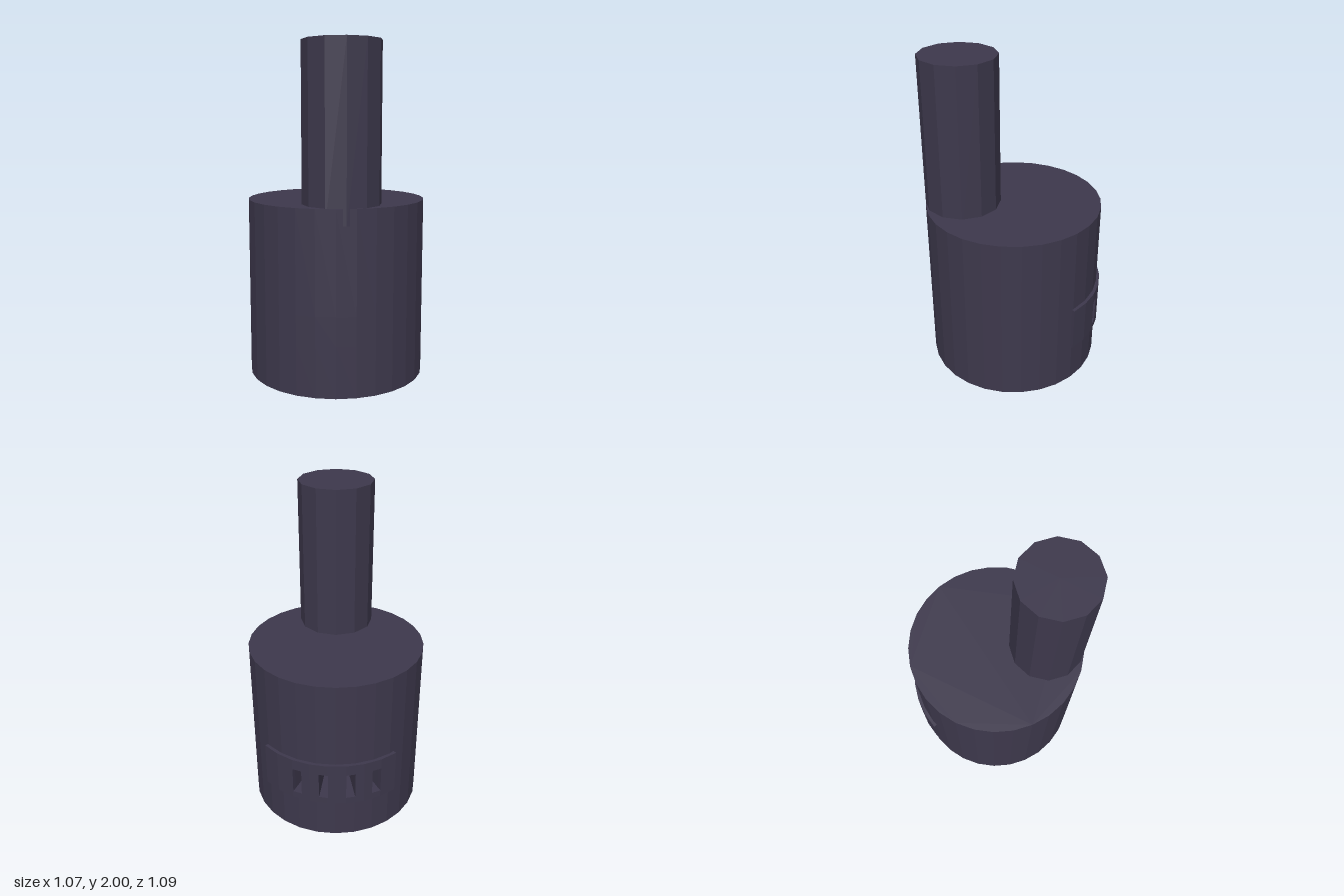
import * as THREE from 'three';

const RAD = Math.PI / 180;
const BODY = { r: 0.537, first: 0, step: 360 / 29 };
const BAND = { r: 0.557, first: -40.8, step: 91.5 / 8 };
const BAND_END = 50.7, BAND_INNER = 0.531;
const SLOTS = [-26.5, -9.5, 7.5, 24.7]; // degrees from the back
const SLOT_HALF = 0.0275, SLOT_FLOOR = 0.31;
const SLOT_Y = [0.305, 0.475];

// Point at an angle measured from the back (-z) towards +x
const polar = (deg, r) => new THREE.Vector2(r * Math.sin(deg * RAD), r * Math.cos(deg * RAD));

// Point on the faceted outline of a ring
function onFacets({ r, first, step }, deg) {
  const t = (((deg - first) % step) + step) % step;
  return polar(deg, r * Math.cos(step / 2 * RAD) / Math.cos((t - step / 2) * RAD));
}

// Facet corners between two angles, with both ends included
function arc(ring, a, b) {
  const points = [onFacets(ring, a)];
  for (let k = Math.ceil((a - ring.first) / ring.step); ring.first + k * ring.step < b - 1e-4; k++) {
    const deg = ring.first + k * ring.step;
    if (deg > a + 1e-4) points.push(polar(deg, ring.r));
  }
  points.push(onFacets(ring, b));
  return points;
}

export function createModel() {
  const model = new THREE.Group();
  const material = new THREE.MeshStandardMaterial({ color: 0x3d384c, flatShading: true });

  // Upright slab with a horizontal outline
  function layer(name, points, y0, y1, parent) {
    const geometry = new THREE.ExtrudeGeometry(new THREE.Shape(points), { depth: y1 - y0, bevelEnabled: false });
    geometry.rotateX(-Math.PI / 2).translate(0, y0, 0);
    const mesh = new THREE.Mesh(geometry, material);
    mesh.name = name;
    parent.add(mesh);
  }

  const base = new THREE.Group();
  base.name = 'base';
  base.position.z = 0.007;
  model.add(base);

  // Drum: solid below and above the slots
  const round = Array.from({ length: 29 }, (_, k) => polar(k * BODY.step, BODY.r));
  layer('drumLower', round, 0, SLOT_Y[0], base);
  layer('drumUpper', round, SLOT_Y[1], 1.08, base);

  // Drum: notched ring at slot height
  const half = Math.asin(SLOT_HALF / BODY.r) / RAD;
  const floorHalf = Math.asin(SLOT_HALF / SLOT_FLOOR) / RAD;
  const notched = [];
  SLOTS.forEach((slot, i) => {
    const next = i < SLOTS.length - 1 ? SLOTS[i + 1] : SLOTS[0] + 360;
    notched.push(polar(slot - floorHalf, SLOT_FLOOR), polar(slot + floorHalf, SLOT_FLOOR));
    notched.push(...arc(BODY, slot + half, next - half));
  });
  layer('drumSlotted', notched, ...SLOT_Y, base);

  // Curved plate on the back, framing the slots
  const plate = new THREE.Group();
  plate.name = 'ventPlate';
  base.add(plate);
  const strip = (a, b) => [
    ...arc(BAND, a, b),
    ...arc({ ...BODY, r: BAND_INNER }, a, b).reverse(),
  ];
  layer('plateBottom', strip(BAND.first, BAND_END), 0.262, SLOT_Y[0], plate);
  layer('plateTop', strip(BAND.first, BAND_END), SLOT_Y[1], 0.545, plate);
  const starts = [BAND.first, ...SLOTS.map((s) => s + half)];
  const ends = [...SLOTS.map((s) => s - half), BAND_END];
  starts.forEach((a, i) => layer('plateBar', strip(a, ends[i]), ...SLOT_Y, plate));

  // Off-centre post, slightly overhanging the front of the drum
  const post = new THREE.Mesh(new THREE.CylinderGeometry(0.23, 0.23, 1.015, 12), material);
  post.name = 'post';
  post.position.set(0, 0.985 + 1.015 / 2, 0.316);
  model.add(post);

  return model;
}
